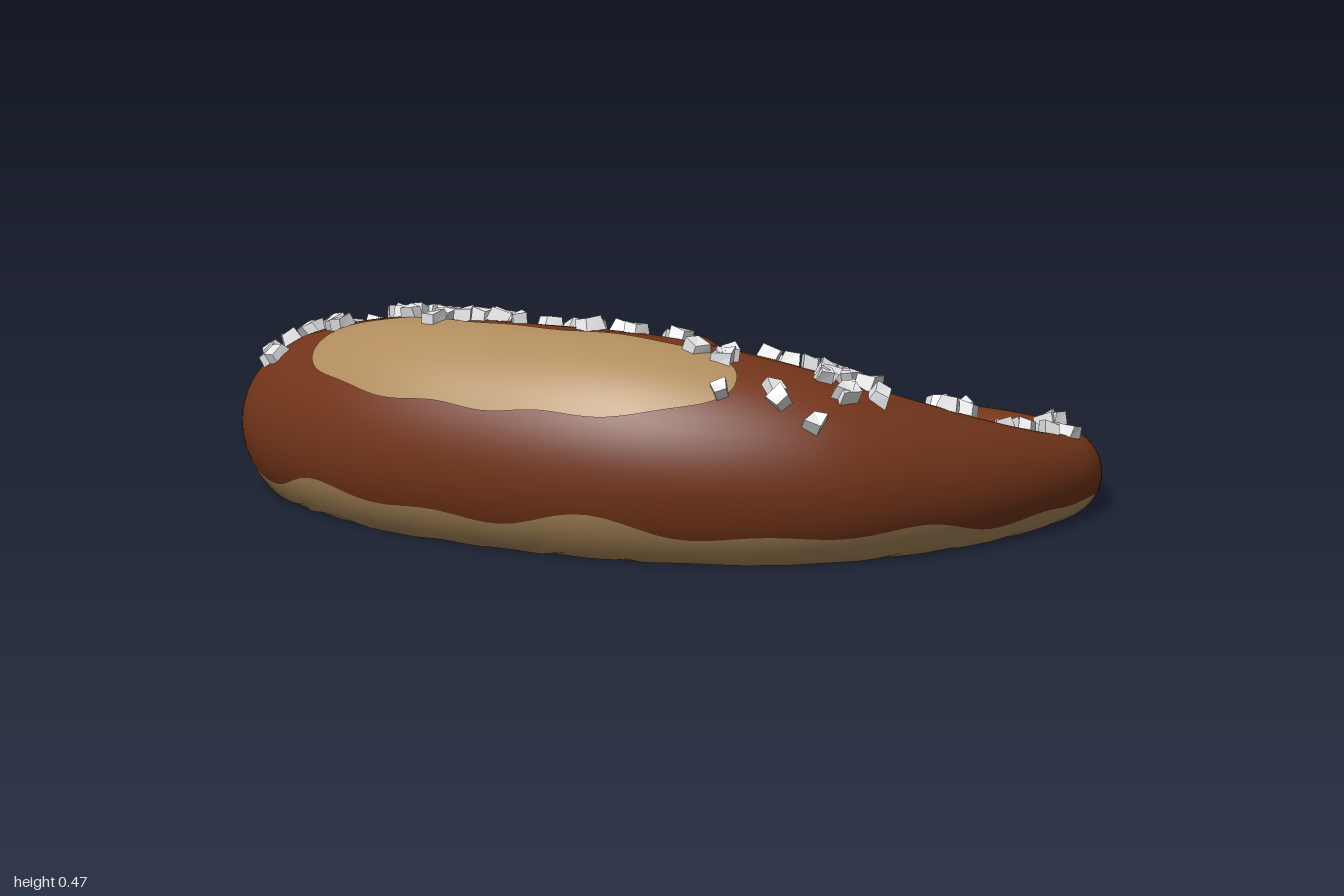
import * as THREE from 'three';

const crust = new THREE.MeshStandardMaterial({ name: 'brown crust', color: 0x74351a });
const dough = new THREE.MeshStandardMaterial({ name: 'pale dough', color: 0xb08c5c });
const saltWhite = new THREE.MeshStandardMaterial({ name: 'salt white', color: 0xf0f0f2 });

// Half of the rope, from the belly round one loop: x, y, z, radius
const half = [
  [0.3, 0.18, 0.405, 0.25], [0.57, 0.152, 0.295, 0.216], [0.77, 0.118, 0.1, 0.16],
  [0.882, 0.09, -0.12, 0.114], [0.905, 0.07, -0.32, 0.09], [0.8, 0.062, -0.52, 0.082],
  [0.6, 0.06, -0.615, 0.08], [0.4, 0.068, -0.555, 0.08],
];
// Twisted arm: x, z; the two arms differ in height only
const arm = [[0.2, -0.44], [0.02, -0.315], [-0.063, -0.19], [0, -0.06], [0.12, 0.07], [0.27, 0.212]];
const overFirst = [0.12, 0.19, 0.15, 0.078, 0.19, 0.335];
const underFirst = [0.072, 0.075, 0.11, 0.185, 0.25, 0.335];

const side = (heights, sign) => [...half, ...arm.map(([x, z], i) => [x, heights[i], z, 0.077])]
  .map(([x, y, z, r]) => [x * sign, y, z, r]);
const knots = [...side(underFirst, -1).reverse(), [0, 0.185, 0.435, 0.255], ...side(overFirst, 1)];
const path = new THREE.CatmullRomCurve3(knots.map(([x, y, z]) => new THREE.Vector3(x, y, z)));
const radii = new THREE.CatmullRomCurve3(
  knots.map((k, i) => new THREE.Vector3(k[3], i, 0)), false, 'catmullrom');

// Centre, radius and upright frame of the rope at t
function frameAt(t) {
  const tangent = path.getTangent(t);
  const across = new THREE.Vector3(tangent.z, 0, -tangent.x).normalize();
  const up = new THREE.Vector3().crossVectors(tangent, across);
  return { t, centre: path.getPoint(t), r: radii.getPoint(t).x, tangent, across, up };
}

// Point on the rope skin, pressed flat where it meets the table
function skin(f, a, lift = 0) {
  const p = f.centre.clone()
    .addScaledVector(f.across, Math.cos(a) * (f.r + lift))
    .addScaledVector(f.up, Math.sin(a) * (f.r + lift));
  p.y = Math.max(0, p.y);
  return p;
}

// Rings along the rope with rounded ends
function makeFrames() {
  const frames = [];
  const steps = 300;
  const cap = (t, dir) => [0.25, 0.5, 0.7, 0.85, 0.95, 0.999].map((s) => {
    const f = frameAt(t);
    f.centre.addScaledVector(f.tangent, dir * s * 0.055);
    f.r *= Math.sqrt(1 - s * s);
    return f;
  });
  frames.push(...cap(0, -1).reverse());
  for (let i = 0; i <= steps; i++) frames.push(frameAt(i / steps));
  frames.push(...cap(1, 1));
  return frames;
}

// Rope with a brown top and a pale underside, divided by a wavy edge
function makeRope(frames) {
  const nTop = 30, nBase = 18, n = nTop + nBase;
  const wave = (t, k) => 0.06 * Math.sin(t * 97 + k) + 0.05 * Math.sin(t * 173 + 2 * k);
  const pos = [], top = [], base = [];
  frames.forEach((f, i) => {
    const a0 = -0.41 + wave(f.t, 1), a1 = Math.PI + 0.41 + wave(f.t, 4);
    for (let j = 0; j < n; j++) {
      const a = j < nTop
        ? a0 + (a1 - a0) * j / nTop
        : a1 + (a0 + 2 * Math.PI - a1) * (j - nTop) / nBase;
      pos.push(...skin(f, a).toArray());
      if (i === frames.length - 1) continue;
      const k = (j + 1) % n, p = i * n, q = p + n;
      (j < nTop ? top : base).push(p + j, p + k, q + j, p + k, q + k, q + j);
    }
  });
  const g = new THREE.BufferGeometry();
  g.setAttribute('position', new THREE.Float32BufferAttribute(pos, 3));
  g.setIndex([...top, ...base]);
  g.addGroup(0, top.length, 0);
  g.addGroup(top.length, base.length, 1);
  g.computeVertexNormals();
  return new THREE.Mesh(g, [crust, dough]);
}

// Pale split along the upper front of the belly
function makeSplit() {
  const nu = 64, nv = 16, pos = [], index = [];
  const span = 1.48 / (knots.length - 1);
  for (let i = 0; i <= nu; i++) {
    const u = Math.sin((i / nu - 0.5) * Math.PI);
    const f = frameAt(0.5 + u * span);
    const width = 0.49 * Math.pow(Math.max(0, 1 - u ** 4), 0.5);
    for (let j = 0; j <= nv; j++) {
      const v = j / nv * 2 - 1;
      const a = 2.17 - 0.06 * u * u + v * width + 0.02 * Math.sin(u * 13 + v);
      pos.push(...skin(f, a, 0.004).toArray());
      if (i === nu || j === nv) continue;
      const p = i * (nv + 1) + j, q = p + nv + 1;
      index.push(p, p + 1, q, p + 1, q + 1, q);
    }
  }
  const g = new THREE.BufferGeometry();
  g.setAttribute('position', new THREE.Float32BufferAttribute(pos, 3));
  g.setIndex(index);
  g.computeVertexNormals();
  return new THREE.Mesh(g, dough);
}

// Salt clusters: x, z, count, spread
const clusters = [
  [-0.37, -0.55, 3, 0.05], [-0.27, -0.4, 3, 0.05], [-0.12, -0.42, 2, 0.04], [-0.83, -0.47, 2, 0.08],
  [-0.96, -0.2, 1, 0], [-0.92, -0.01, 1, 0], [-0.8, 0.04, 6, 0.04], [-0.81, 0.2, 2, 0.03],
  [-0.63, 0.22, 6, 0.07], [-0.48, 0.24, 5, 0.06], [-0.68, 0.37, 4, 0.05], [-0.5, 0.4, 2, 0.02],
  [-0.34, 0.36, 7, 0.06], [-0.15, 0.36, 8, 0.09], [0, 0.33, 5, 0.09], [0.12, 0.38, 4, 0.06],
  [0.28, 0.32, 3, 0.06], [0.41, 0.39, 4, 0.06], [0.51, 0.25, 4, 0.06], [0.66, 0.3, 10, 0.07],
  [0.61, 0.46, 3, 0.05], [0.74, 0.01, 8, 0.07], [0.86, -0.2, 7, 0.06], [0.9, -0.33, 2, 0.07],
  [0.82, -0.5, 2, 0.02], [0.33, -0.56, 3, 0.03], [0.26, -0.46, 1, 0], [0.58, -0.59, 1, 0],
  [0, -0.08, 3, 0.05], [0.39, 0.18, 1, 0], [-0.21, 0.47, 1, 0], [0.48, 0.51, 1, 0],
];

function makeSalt(frames) {
  let seed = 7;
  const rand = () => (seed = (seed * 16807) % 2147483647) / 2147483647;
  // Uneven crystal: a box with tapered, sheared corners
  const crystal = new THREE.BoxGeometry(1, 1, 1);
  const p = crystal.attributes.position;
  for (let i = 0; i < p.count; i++) {
    const [x, y, z] = [p.getX(i), p.getY(i), p.getZ(i)];
    p.setXYZ(i, x * (1 - 0.3 * y) + 0.2 * z, y + 0.25 * x * z, z * (1 + 0.25 * x) - 0.15 * y);
  }
  const geometry = crystal.toNonIndexed();
  geometry.computeVertexNormals();
  const group = new THREE.Group();
  const up = new THREE.Vector3(0, 1, 0);
  for (const [cx, cz, count, spread] of clusters) {
    for (let made = 0, tries = 0; made < count && tries < 60; tries++) {
      const x = cx + (rand() * 2 - 1) * spread, z = cz + (rand() * 2 - 1) * spread;
      // Highest skin point above x, z
      let y = -1, best = null;
      for (const f of frames) {
        const d2 = (x - f.centre.x) ** 2 + (z - f.centre.z) ** 2;
        if (d2 > f.r * f.r * 0.8) continue;
        const h = f.centre.y + Math.sqrt(f.r * f.r - d2);
        if (h > y) { y = h; best = f; }
      }
      if (!best) continue;
      const grain = new THREE.Mesh(geometry, saltWhite);
      grain.name = 'saltGrain';
      const normal = new THREE.Vector3(x, y, z).sub(best.centre).normalize();
      grain.position.set(x, y, z).addScaledVector(normal, 0.008);
      grain.quaternion.setFromUnitVectors(up, normal);
      grain.rotateY(rand() * 6.28);
      grain.rotateX((rand() - 0.5) * 0.6);
      grain.scale.set(0.03 + rand() * 0.014, 0.024 + rand() * 0.01, 0.028 + rand() * 0.012);
      group.add(grain);
      made++;
    }
  }
  return group;
}

export function createModel() {
  const model = new THREE.Group();
  model.name = 'pretzel';
  const frames = makeFrames();
  const parts = { twistedRope: makeRope(frames), crustSplit: makeSplit(), salt: makeSalt(frames) };
  for (const [name, part] of Object.entries(parts)) {
    part.name = name;
    model.add(part);
  }
  return model;
}
